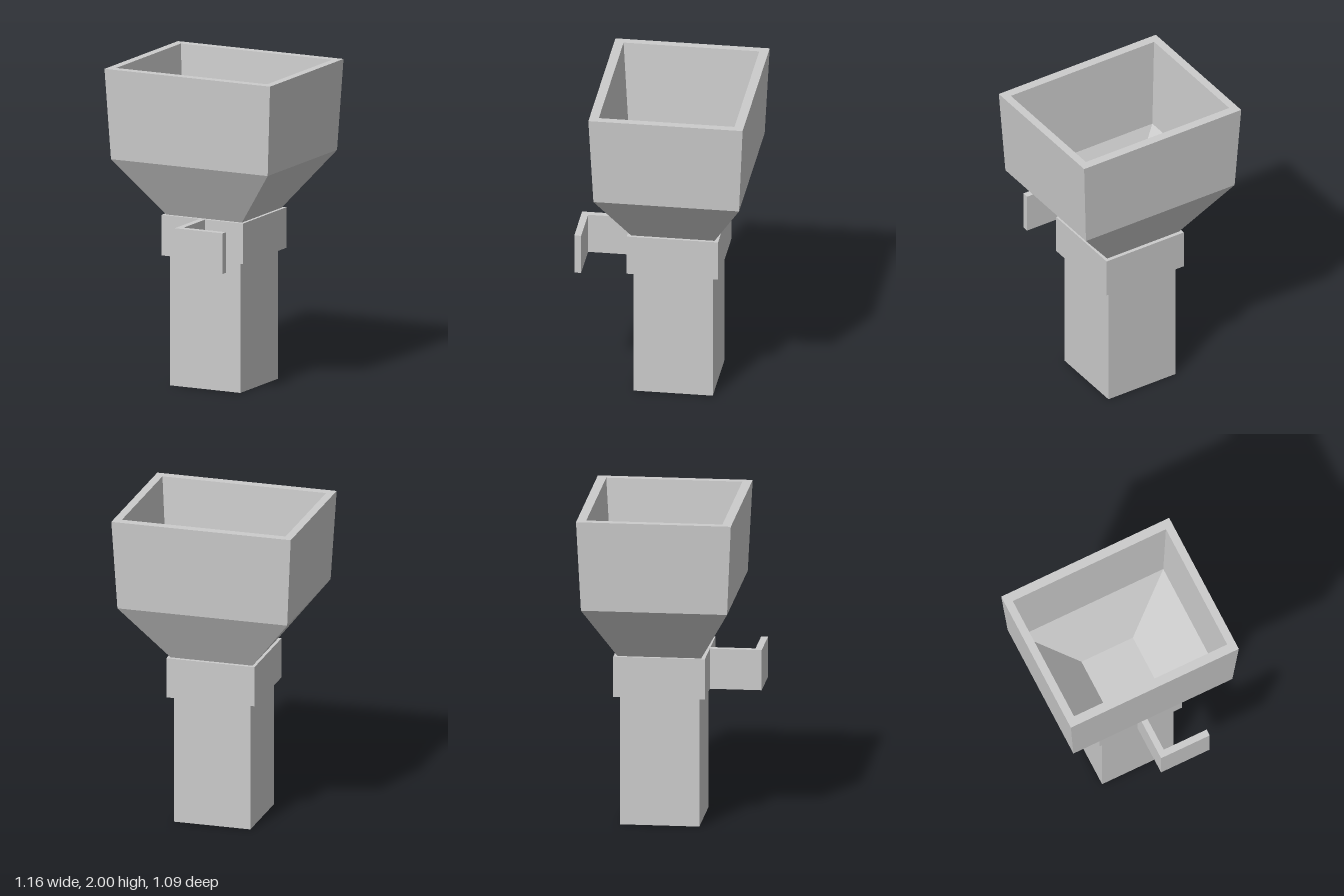
import * as THREE from 'three';

const material = new THREE.MeshStandardMaterial({ color: 0xcccccc, flatShading: true });

// Skin over rectangular rings [halfWidth, halfDepth, y], with both ends capped.
function rectLoft(rings) {
  const corners = rings.map(([w, d, y]) => [[-w, y, d], [w, y, d], [w, y, -d], [-w, y, -d]]);
  const positions = [];
  const quad = (a, b, c, d) => positions.push(...a, ...b, ...c, ...a, ...c, ...d);
  for (let r = 0; r < corners.length - 1; r++) {
    const lo = corners[r], hi = corners[r + 1];
    for (let i = 0; i < 4; i++) {
      const j = (i + 1) % 4;
      quad(lo[i], lo[j], hi[j], hi[i]);
    }
  }
  const first = corners[0], last = corners[corners.length - 1];
  quad(first[3], first[2], first[1], first[0]);
  quad(last[0], last[1], last[2], last[3]);
  const geometry = new THREE.BufferGeometry();
  geometry.setAttribute('position', new THREE.Float32BufferAttribute(positions, 3));
  geometry.computeVertexNormals();
  return geometry;
}

export function createModel() {
  const model = new THREE.Group();
  model.name = 'hopperOnPost';
  const body = new THREE.Group();
  body.name = 'body';
  body.position.z = -0.063;
  model.add(body);

  const add = (parent, name, geometry) => {
    const mesh = new THREE.Mesh(geometry, material);
    mesh.name = name;
    parent.add(mesh);
  };
  const box = (x0, x1, y0, y1, z0, z1) => new THREE.BoxGeometry(x1 - x0, y1 - y0, z1 - z0)
    .translate((x0 + x1) / 2, (y0 + y1) / 2, (z0 + z1) / 2);

  // Square post and the collar around its top
  add(body, 'post', box(-0.246, 0.246, 0, 1.0, -0.246, 0.246));
  add(body, 'collar', box(-0.284, 0.284, 0.82, 1.075, -0.284, 0.284));

  // Hopper: up the outside, over the rim, down the inside to the floor
  add(body, 'hopper', rectLoft([
    [0.26, 0.257, 1.07],
    [0.547, 0.453, 1.43],
    [0.578, 0.48, 2],
    [0.527, 0.422, 2],
    [0.49, 0.385, 1.42],
    [0.177, 0.177, 1.08],
  ]));

  // L-shaped hook on the front of the collar
  const hook = new THREE.Shape([
    [-0.02, -0.2], [0.02, -0.2], [0.02, -0.5], [0.315, -0.5], [0.315, -0.543], [-0.02, -0.543],
  ].map(([x, y]) => new THREE.Vector2(x, y)));
  add(model, 'hook', new THREE.ExtrudeGeometry(hook, { depth: 0.255, bevelEnabled: false })
    .rotateX(-Math.PI / 2).translate(0, 0.82, 0));

  return model;
}
